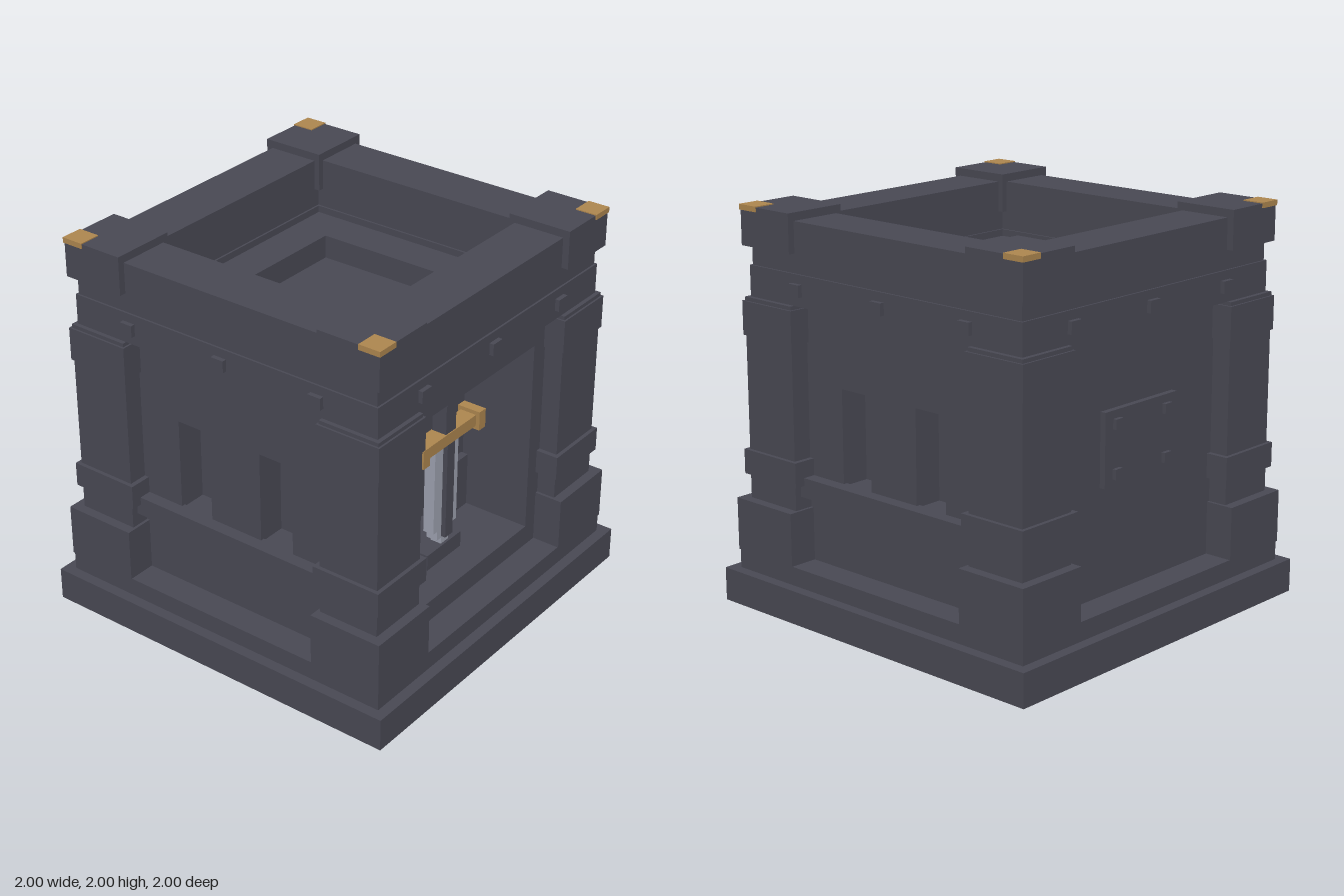
import * as THREE from 'three';

export function createModel() {
  const model = new THREE.Group();
  model.name = 'stoneShrine';
  const mat = (name, color) => {
    const m = new THREE.MeshStandardMaterial({ color });
    m.name = name;
    return m;
  };
  const stone = mat('stone', 0x4a4a55);
  const gold = mat('gold', 0xb08850);
  const steel = mat('steel', 0xa0a4b2);

  const add = (name, geometry, material = stone, parent = model) => {
    const mesh = new THREE.Mesh(geometry, material);
    mesh.name = name;
    parent.add(mesh);
    return mesh;
  };
  // Box given by its limits on each axis
  const box = (name, x0, x1, y0, y1, z0, z1, material, parent) =>
    add(name, new THREE.BoxGeometry(x1 - x0, y1 - y0, z1 - z0)
      .translate((x0 + x1) / 2, (y0 + y1) / 2, (z0 + z1) / 2), material, parent);
  const rect = (C, x0, x1, y0, y1) => new C([[x0, y0], [x1, y0], [x1, y1], [x0, y1]]
    .map(([x, y]) => new THREE.Vector2(x, y)));
  // Square slab with a square hole
  const ring = (name, outer, inner, y0, y1) => {
    const shape = rect(THREE.Shape, -outer, outer, -outer, outer);
    shape.holes.push(rect(THREE.Path, -inner, inner, -inner, inner));
    add(name, new THREE.ExtrudeGeometry(shape, { depth: y1 - y0, bevelEnabled: false })
      .rotateX(-Math.PI / 2).translate(0, y0, 0));
  };

  // Base and solid core
  box('plinth', -1, 1, 0, 0.17, -1, 1);
  box('baseStep', -0.945, 0.945, 0.17, 0.265, -0.945, 0.945);
  box('core', -0.65, 0.65, 0.265, 1.55, -0.7, 0.41);
  box('backWall', -0.6, 0.6, 0.265, 1.548, -0.8, -0.7);

  // Corner pillars: [name, inner edge, outer edge, bottom, top]
  const pillarParts = [
    ['pillarShaft', 0.575, 0.9, 0.265, 1.549],
    ['pillarBase', 0.56, 0.95, 0.266, 0.535],
    ['pillarBand', 0.55, 0.92, 0.66, 0.785],
    ['pillarCapital', 0.565, 0.91, 1.36, 1.53],
    ['cornerBlock', 0.57, 0.905, 1.8, 1.995],
    ['cornerCap', 0.795, 0.91, 1.973, 2],
  ];
  for (const sx of [-1, 1]) for (const sz of [-1, 1]) {
    for (const [name, a, b, y0, y1] of pillarParts) {
      const w = b - a, c = (a + b) / 2;
      add(name, new THREE.BoxGeometry(w, y1 - y0, w), name === 'cornerCap' ? gold : stone)
        .position.set(sx * c, (y0 + y1) / 2, sz * c);
    }
  }

  // Side walls with two windows and a sill
  for (const s of [-1, 1]) {
    const side = new THREE.Group();
    side.name = s > 0 ? 'leftWall' : 'rightWall';
    side.rotation.y = s * Math.PI / 2;
    model.add(side);
    const shape = rect(THREE.Shape, -0.6, 0.6, 0.265, 1.548);
    for (const c of [-0.245, 0.245])
      shape.holes.push(rect(THREE.Path, c - 0.095, c + 0.095, 0.69, 1.17));
    add('windowWall', new THREE.ExtrudeGeometry(shape, { depth: 0.16, bevelEnabled: false })
      .translate(0, 0, 0.64), stone, side);
    box('windowSill', -0.58, 0.58, 0.6, 0.7, 0.78, 0.865, stone, side);
  }

  // Niche in the front wall
  box('nicheFloor', -0.6, 0.6, 0.265, 0.375, 0.4, 0.8);
  box('lintel', -0.6, 0.6, 1.4, 1.548, 0.4, 0.8);
  for (const s of [-1, 1]) {
    const bar = (name, a, b, ...rest) => box(name, Math.min(s * a, s * b), Math.max(s * a, s * b), ...rest);
    bar('doorJamb', 0.48, 0.65, 0.265, 1.548, 0.4, 0.8);
    bar('corbel', 0.375, 0.49, 1.31, 1.41, 0.4, 0.6);
    bar('nichePanel', 0.36, 0.465, 0.385, 0.675, 0.4, 0.45);
  }
  box('pedestal', -0.14, 0.14, 0.37, 0.46, 0.41, 0.64);

  // Sword, point down
  const sword = new THREE.Group();
  sword.name = 'sword';
  model.add(sword);
  box('blade', -0.095, 0.095, 0.56, 1.04, 0.58, 0.64, steel, sword);
  box('bladeTaper', -0.065, 0.065, 0.51, 0.56, 0.58, 0.64, steel, sword);
  box('bladeTip', -0.03, 0.03, 0.475, 0.51, 0.58, 0.64, steel, sword);
  box('bladeRidge', -0.03, 0.03, 0.52, 1.04, 0.55, 0.665, stone, sword);
  box('guard', -0.21, 0.21, 1.04, 1.1, 0.575, 0.665, gold, sword);
  for (const s of [-1, 1])
    box('guardEnd', s * 0.228 - 0.026, s * 0.228 + 0.026, 1.02, 1.12, 0.56, 0.685, gold, sword);
  box('grip', -0.04, 0.04, 1.1, 1.27, 0.58, 0.66, stone, sword);
  box('pommel', -0.062, 0.062, 1.27, 1.375, 0.56, 0.68, stone, sword);

  // Riveted plate on the back
  box('backPlate', -0.26, 0.26, 0.8, 1.165, -0.83, -0.79);
  for (const x of [-0.18, 0.18]) for (const y of [0.86, 1.1])
    box('plateRivet', x - 0.025, x + 0.025, y - 0.025, y + 0.025, -0.85, -0.82);

  // Roof, frieze and parapet
  ring('roofSlab', 0.62, 0.39, 1.545, 1.67);
  ring('frieze', 0.88, 0.59, 1.55, 1.705);
  ring('parapet', 0.87, 0.6, 1.7, 1.955);

  // Studs around the frieze
  for (let i = 0; i < 4; i++) for (const x of [-0.55, 0, 0.55]) {
    const stud = box('friezeStud', x - 0.035, x + 0.035, 1.6, 1.66, 0.86, 0.903);
    stud.rotation.y = i * Math.PI / 2;
  }
  return model;
}
